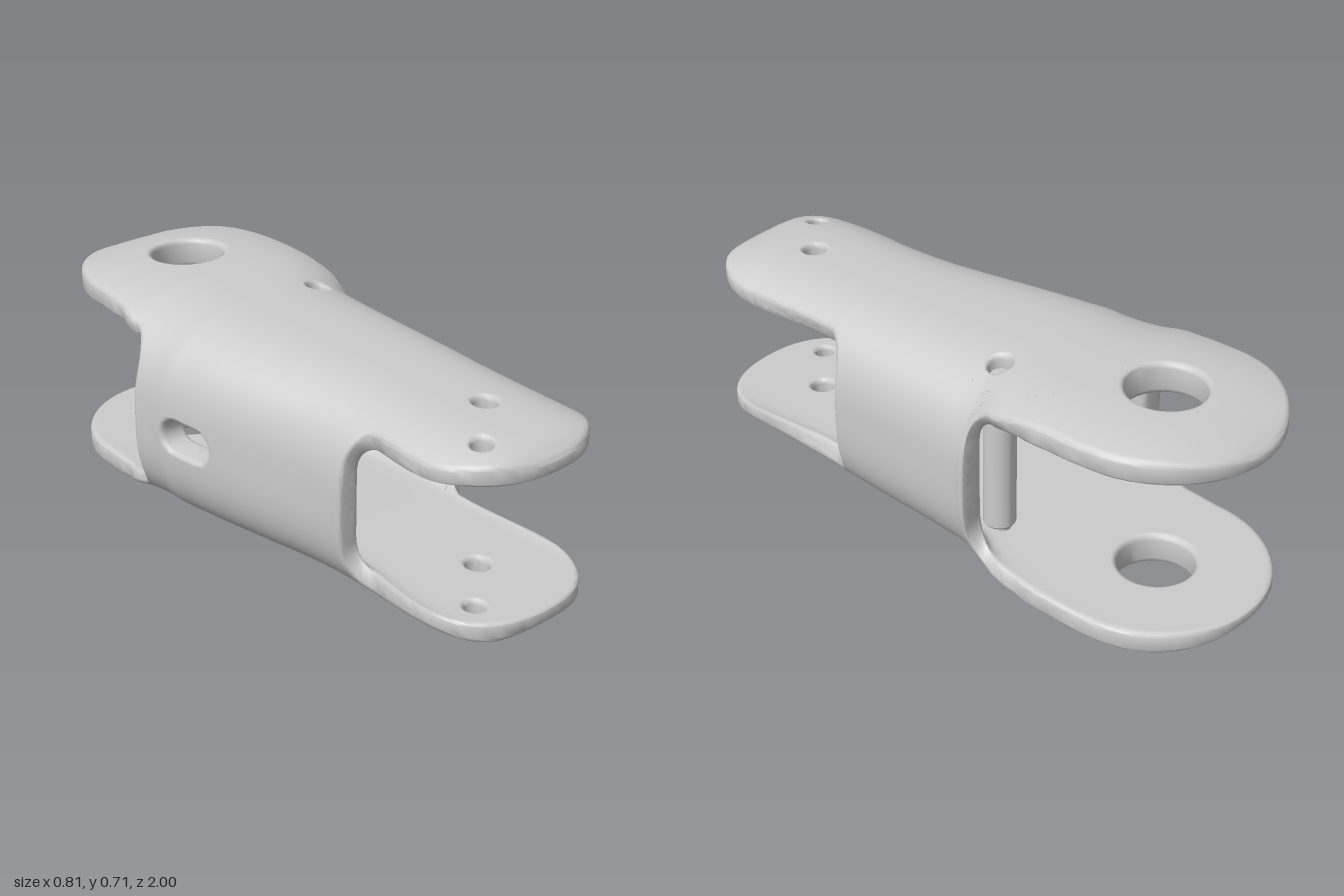
import * as THREE from 'three';
import { toCreasedNormals } from 'three/addons/utils/BufferGeometryUtils.js';

const MID = 0.355;         // height of the mirror plane
const SC = 0.3;            // width of one wrap unit in the flat pattern
const NO = 2.9, NI = 12;   // roundness of the outer and inner sections
const KO = 2 ** (-1 / NO), KI = 2 ** (-1 / NI);

// Smooth curve through [z, value] pairs
function smooth(pts) {
  const slope = pts.map((p, i) => {
    const a = pts[Math.max(0, i - 1)], b = pts[Math.min(pts.length - 1, i + 1)];
    return (b[1] - a[1]) / (b[0] - a[0]);
  });
  return (z) => {
    z = Math.min(Math.max(z, pts[0][0]), pts[pts.length - 1][0]);
    let i = 0;
    while (i < pts.length - 2 && z > pts[i + 1][0]) i++;
    const [z0, v0] = pts[i], [z1, v1] = pts[i + 1], d = z1 - z0, t = (z - z0) / d;
    return v0 * (1 + 2 * t) * (1 - t) ** 2 + slope[i] * d * t * (1 - t) ** 2
      + v1 * t * t * (3 - 2 * t) + slope[i + 1] * d * t * t * (t - 1);
  };
}

// Section half width, sideways shift, outer and inner half height, wall thickening along z
const halfWidth = smooth([[-1, 0.54], [-0.65, 0.54], [-0.5, 0.515], [-0.4, 0.475], [-0.3, 0.44],
  [-0.2, 0.402], [-0.1, 0.39], [0.1, 0.37], [0.33, 0.347], [0.5, 0.34], [0.75, 0.346], [1, 0.346]]);
const shift = smooth([[-1, 0.05], [-0.5, 0.055], [-0.4, 0.055], [-0.3, 0.035], [-0.2, 0],
  [0.33, 0], [0.5, -0.008], [0.75, -0.025], [1, -0.025]]);
const outerH = smooth([[-1, 0.285], [-0.95, 0.312], [-0.8, 0.346], [-0.55, 0.354], [-0.4, 0.351],
  [0, 0.334], [0.5, 0.315], [0.85, 0.302], [0.95, 0.283], [1, 0.25]]);
const innerH = smooth([[-1, 0.25], [-0.45, 0.246], [0.3, 0.2], [1, 0.208]]);
const thicken = smooth([[-0.5, 0], [-0.3, 0.07], [0.45, 0.08], [0.7, 0]]);

// Wrap the flat pattern (s around the ring, z along it, t from inside to outside)
function wrap(s, z, t) {
  s = ((s % 8) + 8) % 8;
  let u, v;
  if (s < 1) [u, v] = [1, s];
  else if (s < 3) [u, v] = [2 - s, 1];
  else if (s < 5) [u, v] = [-1, 4 - s];
  else if (s < 7) [u, v] = [s - 6, -1];
  else [u, v] = [1, s - 8];
  const point = (w, h, n, k) => {
    const far = (q) => (1 - Math.abs(k * q) ** n) ** (1 / n);
    return Math.abs(v) === 1 ? [w * k * u, h * v * far(u)] : [w * u * far(v), h * k * v];
  };
  const w = halfWidth(z);
  const o = point(w, outerH(z), NO, KO), i = point(w * KO / KI, innerH(z), NI, KI);
  i[0] *= 1 - thicken(z) * u ** 4;
  return new THREE.Vector3(shift(z) + i[0] + (o[0] - i[0]) * t, MID + i[1] + (o[1] - i[1]) * t, z);
}

// Surface direction of the wrapped pattern, facing outward
function wrapNormal(s, z, t) {
  const e = 0.01;
  const ds = wrap(s + e, z, t).sub(wrap(s - e, z, t)), dz = wrap(s, z + e, t).sub(wrap(s, z - e, t));
  return ds.cross(dz).normalize();
}

// Pattern position of a point on the upper plate
const onTop = (x, z) => [2 - (x - shift(z)) / (halfWidth(z) * KO), z];
const toVec = ([s, z]) => new THREE.Vector2(s * SC, z);
const mirror = (pts) => pts.map(([s, z]) => [8 - s, z]);

// Quarter round joining a wall end to a plate edge
function fillet(s0, z0, s1, z1) {
  return Array.from({ length: 9 }, (_, i) => {
    const a = i / 8 * Math.PI / 2;
    return [s0 + (s1 - s0) * Math.sin(a), z0 + (z1 - z0) * (1 - Math.cos(a))];
  });
}

// Split long edges at their middle until the pattern is fine enough to bend
function refine(geometry, limit) {
  const p = geometry.attributes.position, stack = [], out = [];
  for (let i = 0; i < p.count; i += 3) {
    stack.push([0, 1, 2].map((j) => new THREE.Vector3().fromBufferAttribute(p, i + j)));
  }
  while (stack.length) {
    const tri = stack.pop();
    const len = tri.map((a, j) => Math.hypot(a.x - tri[(j + 1) % 3].x, a.y - tri[(j + 1) % 3].y));
    const m = len.indexOf(Math.max(...len));
    if (len[m] <= limit) { out.push(...tri); continue; }
    const a = tri[m], b = tri[(m + 1) % 3], c = tri[(m + 2) % 3];
    const h = a.clone().add(b).multiplyScalar(0.5);
    stack.push([a, h, c], [h, b, c]);
  }
  return out;
}

function bodyGeometry() {
  const bevel = 0.014, lap = bevel / SC;
  // Front edge: right wall, rounded plate nose, left wall
  const front = [[-lap, 0.33], ...fillet(0.55, 0.33, 1, 0.41)];
  for (let i = 0; i <= 24; i++) {
    const a = i / 24 * Math.PI, c = Math.cos(a);
    front.push([2 - Math.sign(c) * Math.abs(c) ** 0.85, 0.75 + 0.25 * Math.sin(a) ** 0.85]);
  }
  front.push(...fillet(3.45, 0.5, 3, 0.58).reverse(), [4, 0.5]);
  // Back edge: right wall, large round plate end, left wall
  const back = [[-lap, -0.22], ...fillet(0.55, -0.22, 1, -0.31),
    onTop(0.39, -0.4), onTop(0.395, -0.5)];
  for (let i = 0; i <= 28; i++) {
    const a = i / 28 * Math.PI;
    back.push(onTop(0.05 + 0.35 * Math.cos(a), -0.65 - 0.35 * Math.sin(a)));
  }
  back.push(onTop(-0.312, -0.53), ...fillet(3.45, -0.36, 3, -0.45).reverse(), [4, -0.36]);
  const whole = (half) => [...half, ...mirror(half.slice(0, -1)).reverse()];
  const shape = new THREE.Shape([...whole(front), ...whole(back).reverse()].map(toVec));

  // Holes through both plates
  for (const [x, z, r] of [[0.05, -0.66, 0.117], [0.205, -0.2, 0.036], [0, 0.71, 0.036], [-0.17, 0.86, 0.03]]) {
    const n = r > 0.1 ? 40 : 20;
    const ring = Array.from({ length: n }, (_, i) => {
      const a = i / n * Math.PI * 2;
      return onTop(x + r * Math.cos(a), z - r * Math.sin(a));
    });
    shape.holes.push(new THREE.Path(ring.map(toVec)), new THREE.Path(mirror(ring).reverse().map(toVec)));
  }
  // Slot in the right-hand wall
  const slot = Array.from({ length: 24 }, (_, i) => {
    const a = (i + 0.5) / 24 * Math.PI * 2;
    return [4 - 0.2 * Math.sin(a), -0.13 + 0.045 * Math.sign(Math.cos(a)) + 0.055 * Math.cos(a)];
  });
  shape.holes.push(new THREE.Path(slot.map(toVec)));

  const flat = new THREE.ExtrudeGeometry(shape, { depth: 0.64, bevelEnabled: true, bevelThickness: 0.18,
    bevelSize: bevel, bevelOffset: -bevel, bevelSegments: 3, curveSegments: 12 });
  const pts = refine(flat, 0.04).map((p) => [p.x / SC, p.y, p.z + 0.18]);
  const bent = new THREE.BufferGeometry().setFromPoints(pts.map((p) => wrap(...p)));
  const geometry = toCreasedNormals(bent, 0.7);

  // Exact normals on the inner and outer skins
  const normal = geometry.attributes.normal;
  for (let i = 0; i < pts.length; i += 3) {
    const tri = pts.slice(i, i + 3);
    for (const [level, sign] of [[0, -1], [1, 1]]) {
      if (!tri.every((p) => Math.abs(p[2] - level) < 1e-4)) continue;
      tri.forEach((p, j) => {
        const n = wrapNormal(...p).multiplyScalar(sign);
        normal.setXYZ(i + j, n.x, n.y, n.z);
      });
    }
  }
  return geometry;
}

export function createModel() {
  const group = new THREE.Group();
  group.name = 'forkedLink';
  const material = new THREE.MeshStandardMaterial({ color: 0xcccccc, side: THREE.DoubleSide });
  const add = (name, geometry) => {
    const mesh = new THREE.Mesh(geometry, material);
    mesh.name = name;
    group.add(mesh);
    return mesh;
  };

  // Hollow body: two plates joined by side walls
  add('body', bodyGeometry());

  // Stepped cross pin between the plates
  const half = [[0, 0.29], [0.027, 0.29], [0.032, 0.284], [0.032, 0.228], [0.046, 0.228], [0.05, 0.222]];
  const profile = [...half.map(([r, y]) => [r, -y]), ...half.slice().reverse()];
  const pin = add('crossPin', toCreasedNormals(
    new THREE.LatheGeometry(profile.map(([r, y]) => new THREE.Vector2(r, y)), 32), 0.5));
  pin.position.set(0.205, MID, -0.2);
  return group;
}
